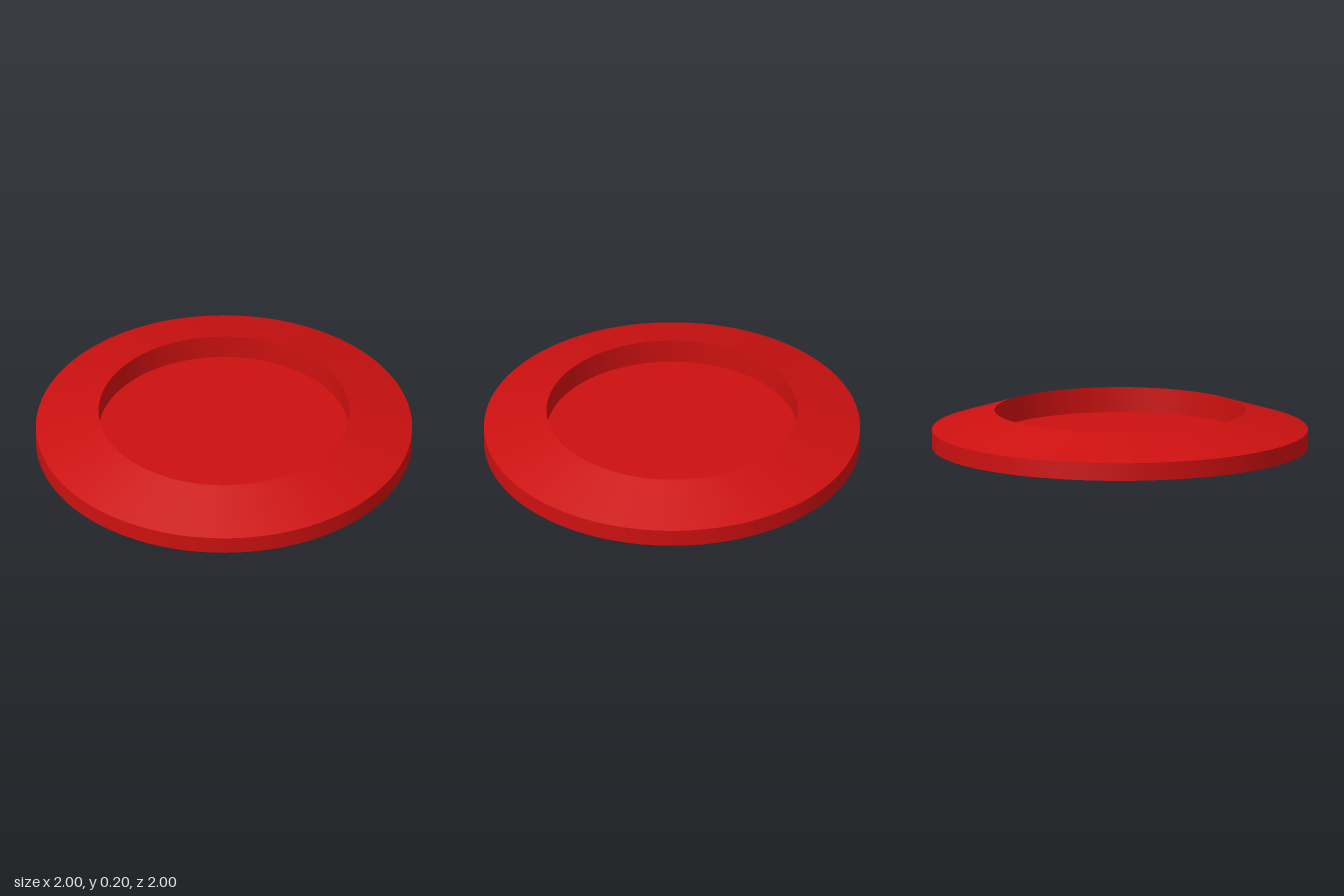
import * as THREE from 'three';
import { toCreasedNormals } from 'three/addons/utils/BufferGeometryUtils.js';

export function createModel() {
  const group = new THREE.Group();
  group.name = 'recessedDisc';

  // Half section: flat base, short upright edge, sloped rim, straight-walled recess
  const profile = [
    [0, 0], [1, 0], [1, 0.095], [0.667, 0.2], [0.667, 0.065], [0, 0.065],
  ].map(([r, y]) => new THREE.Vector2(r, y));

  const disc = new THREE.Mesh(
    toCreasedNormals(new THREE.LatheGeometry(profile, 128), 0.5),
    new THREE.MeshStandardMaterial({ color: 0xcc1010 })
  );
  disc.name = 'dishedDisc';
  group.add(disc);

  return group;
}
